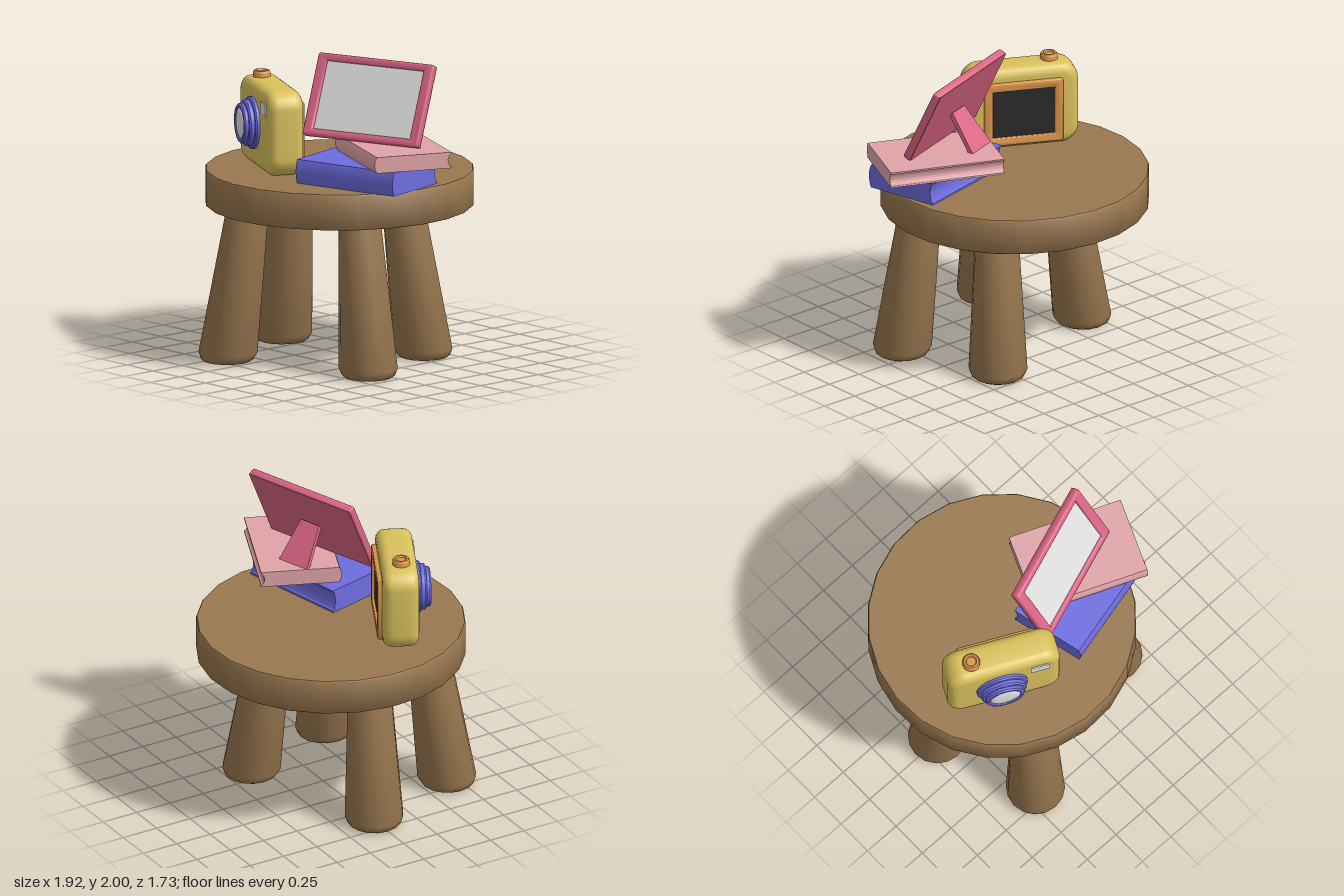
import * as THREE from 'three';
import { toCreasedNormals } from 'three/addons/utils/BufferGeometryUtils.js';

const mat = (name, color) => Object.assign(new THREE.MeshStandardMaterial({ color }), { name });

const wood = mat('wood', 0x9a7850);
const yellow = mat('cameraYellow', 0xdac15c);
const blue = mat('blue', 0x6e6de0);
const rose = mat('rosePink', 0xdc6685);
const pale = mat('palePink', 0xe0a4a8);
const orange = mat('orange', 0xdc964a);
const grey = mat('lightGrey', 0xe2e2e2);
const black = mat('screenBlack', 0x2a2a2a);

function add(parent, name, geo, material, x = 0, y = 0, z = 0) {
  const mesh = new THREE.Mesh(geo, material);
  mesh.name = name;
  mesh.position.set(x, y, z);
  parent.add(mesh);
  return mesh;
}

function group(parent, name, x, y, z, yaw) {
  const g = new THREE.Group();
  g.name = name;
  g.position.set(x, y, z);
  g.rotation.y = yaw;
  parent.add(g);
  return g;
}

// Turned solid from [radius, height] pairs, bottom to top
const lathe = (pts, sides) => new THREE.LatheGeometry(pts.map(p => new THREE.Vector2(...p)), sides);
const turned = (pts, sides, crease = 0.6) => toCreasedNormals(lathe(pts, sides), crease);

function roundRect(w, h, r, Type = THREE.Shape) {
  const s = new Type(), x = w / 2, y = h / 2;
  s.absarc(x - r, y - r, r, 0, Math.PI / 2);
  s.absarc(-x + r, y - r, r, Math.PI / 2, Math.PI);
  s.absarc(-x + r, -y + r, r, Math.PI, Math.PI * 1.5);
  s.absarc(x - r, -y + r, r, Math.PI * 1.5, Math.PI * 2);
  s.closePath();
  return s;
}

// Rounded slab centred on the origin, with an optional [width, height] opening
function slab(w, h, depth, r, bevel, opening) {
  const shape = roundRect(w, h, r);
  if (opening) shape.holes.push(roundRect(...opening, 0.004, THREE.Path));
  const geo = new THREE.ExtrudeGeometry(shape, {
    depth: depth - 2 * bevel, bevelThickness: bevel, bevelSize: bevel,
    bevelOffset: -bevel, bevelSegments: 4, curveSegments: 6,
  });
  geo.translate(0, 0, bevel - depth / 2);
  return toCreasedNormals(geo, 0.7);
}

function addStool(root) {
  const seat = turned([[0, 0.99], [0.83, 0.99], [0.861, 0.99], [0.867, 0.997], [0.867, 1.214], [0.861, 1.223], [0.83, 1.223], [0, 1.223]], 24, 0.9);
  add(root, 'stoolSeat', seat, wood, -0.095, 0, 0).rotation.y = -0.075;
  // Splayed tapering legs with level feet, in two opposite pairs
  [0.287, 2.21, 0.287 + Math.PI, 2.21 + Math.PI].forEach((a, i) => {
    const geo = lathe([[0, 0], [0.15, 0], [0.17, 0.012], [0.19, 0.055], [0.136, 1], [0, 1]], 16);
    const pos = geo.attributes.position;
    for (let k = 0; k < pos.count; k++) {
      const reach = 0.636 - 0.134 * pos.getY(k);
      pos.setX(k, pos.getX(k) + Math.cos(a) * reach);
      pos.setZ(k, pos.getZ(k) + Math.sin(a) * reach);
    }
    add(root, 'stoolLeg' + (i + 1), toCreasedNormals(geo, 1), wood, -0.046, 0, 0.167);
  });
}

// Book with a bulging spine at the front and a hollow, finely ridged page edge at the back
function addBook(root, name, w, d, h, material, x, y, z, yaw) {
  const s = new THREE.Shape(), cover = 0.012, steps = 12;
  s.moveTo(-d / 2, 0);
  s.lineTo(d / 2 - 0.012, 0);
  s.quadraticCurveTo(d / 2 + 0.02, h / 2, d / 2 - 0.012, h);
  s.lineTo(-d / 2, h);
  s.lineTo(-d / 2, h - cover);
  for (let i = 0; i <= steps; i++) {
    const t = i / steps;
    s.lineTo(-d / 2 + 0.006 + 0.016 * Math.sin(Math.PI * t) + (i % 2) * 0.003, h - cover - t * (h - 2 * cover));
  }
  s.lineTo(-d / 2, cover);
  s.closePath();
  const geo = new THREE.ExtrudeGeometry(s, { depth: w, bevelEnabled: false, curveSegments: 8 });
  geo.translate(0, 0, -w / 2);
  geo.rotateY(-Math.PI / 2);
  add(group(root, name + 'Group', x, y, z, yaw), name, toCreasedNormals(geo, 1), material);
}

function addCamera(root) {
  const g = group(root, 'camera', -0.396, 1.501, 0.315, -0.463);
  add(g, 'cameraBody', slab(0.75, 0.555, 0.235, 0.12, 0.06), yellow);
  // Stepped lens barrel
  const lens = turned([[0, 0.1], [0.17, 0.1], [0.17, 0.135], [0.162, 0.145], [0.15, 0.147], [0.15, 0.17], [0.142, 0.18],
    [0.13, 0.182], [0.13, 0.2], [0.122, 0.21], [0.107, 0.21], [0.1, 0.2], [0, 0.2]], 28);
  lens.rotateX(Math.PI / 2);
  add(g, 'lensBarrel', lens, blue, -0.026, 0.015, 0);
  const glass = turned([[0.1, 0], [0.098, 0.004], [0.07, 0.009], [0.035, 0.012], [0, 0.013]], 28, 1);
  glass.rotateX(Math.PI / 2);
  add(g, 'lensGlass', glass, grey, -0.026, 0.015, 0.201);
  add(g, 'flash', new THREE.BoxGeometry(0.125, 0.077, 0.024), grey, 0.23, 0.155, 0.114);
  // Shutter button with a dished top
  add(g, 'shutterButton', turned([[0, 0.26], [0.057, 0.26], [0.057, 0.305], [0.049, 0.318], [0.036, 0.318], [0.03, 0.308], [0, 0.308]], 20),
    orange, -0.2, 0, 0.01);
  // Rear screen
  add(g, 'screenFrame', slab(0.52, 0.43, 0.05, 0.015, 0.01, [0.41, 0.32]), orange, 0, -0.025, -0.122);
  add(g, 'screen', new THREE.BoxGeometry(0.42, 0.33, 0.009), black, 0, -0.025, -0.125);
}

function addPictureFrame(root) {
  const g = group(root, 'pictureFrame', 0.315, 1.742, 0.112, 0.34);
  const panel = new THREE.Group();
  panel.name = 'framePanel';
  panel.rotation.x = -0.436;
  g.add(panel);
  add(panel, 'frameBorder', slab(0.842, 0.549, 0.056, 0.016, 0.014, [0.702, 0.451]), rose);
  add(panel, 'frameBack', new THREE.BoxGeometry(0.832, 0.539, 0.012), rose, 0, 0, -0.023);
  add(panel, 'picture', new THREE.BoxGeometry(0.71, 0.459, 0.008), grey, 0, 0, 0.006);
  // Prop leg: narrower at the top, leaning against the back
  const s = new THREE.Shape([[-0.115, 0], [0.115, 0], [0.075, 0.29], [-0.075, 0.29]].map(p => new THREE.Vector2(...p)));
  const prop = new THREE.ExtrudeGeometry(s, { depth: 0.03, bevelEnabled: false });
  add(g, 'frameProp', prop, rose, 0, -0.257, -0.202).rotation.x = 0.64;
}

export function createModel() {
  const root = new THREE.Group();
  root.name = 'stoolWithObjects';
  addStool(root);
  addBook(root, 'lowerBook', 0.75, 0.505, 0.157, blue, 0.392, 1.223, 0.21, 0.24);
  addBook(root, 'upperBook', 0.762, 0.52, 0.105, pale, 0.504, 1.38, 0.075, -0.4);
  addCamera(root);
  addPictureFrame(root);
  return root;
}
